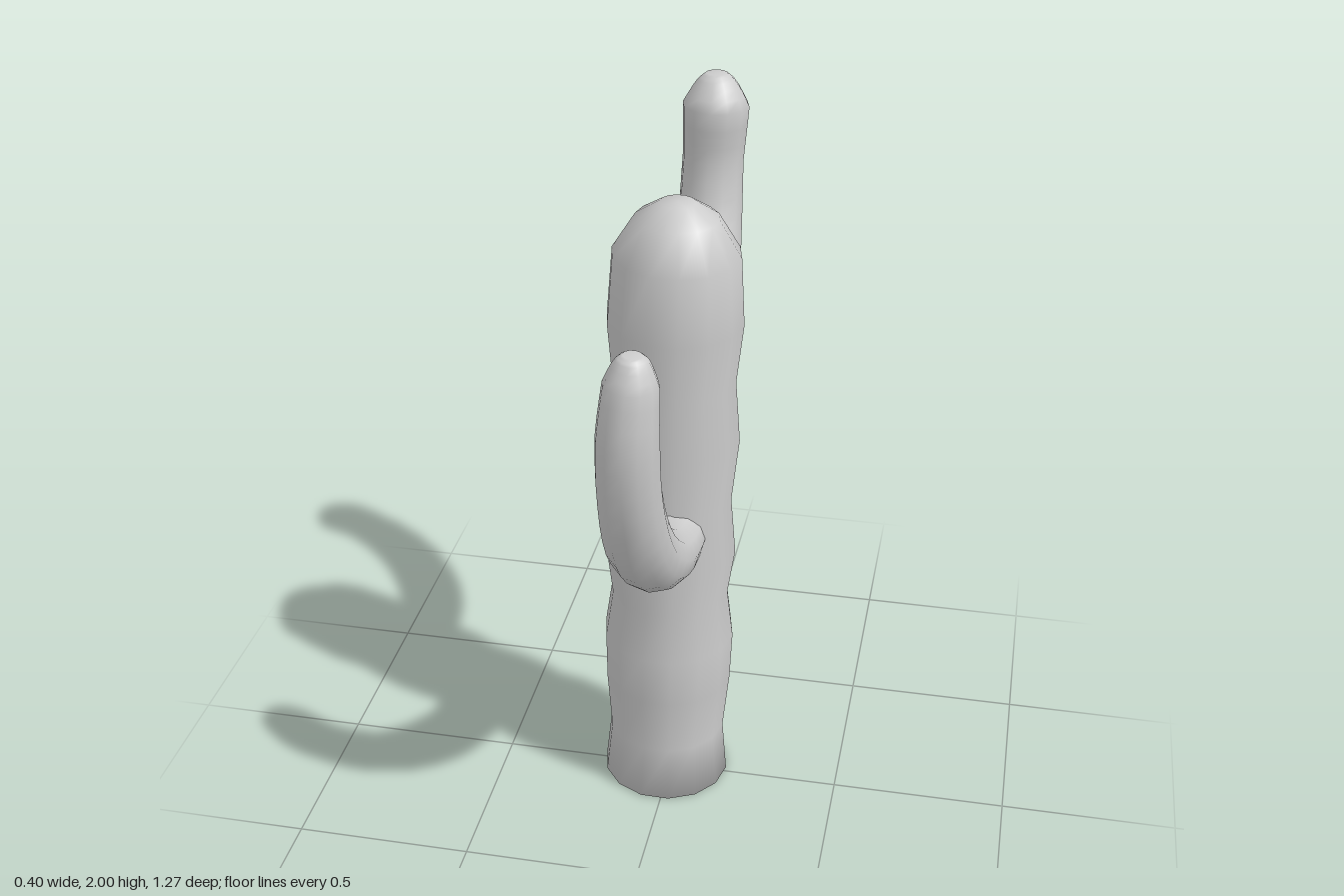
import * as THREE from 'three';

const material = new THREE.MeshStandardMaterial({ color: 0xcccccc });

// Sweeps round rings along a smooth path; each station is [x, y, z, radius].
// Both ends are closed with a fan that shares the smooth normals.
function sweep(name, stations, sides, steps) {
  const curve = new THREE.CatmullRomCurve3(stations.map(([x, y, z]) => new THREE.Vector3(x, y, z)));
  const spans = stations.length - 1;
  const rings = spans * steps;
  const positions = [];
  const index = [];
  const xAxis = new THREE.Vector3(1, 0, 0);

  for (let i = 0; i <= rings; i++) {
    const t = i / rings;
    const centre = curve.getPoint(t);
    const tangent = curve.getTangent(t);
    const n = new THREE.Vector3().crossVectors(tangent, xAxis).normalize();
    const u = new THREE.Vector3().crossVectors(n, tangent).normalize();
    const span = Math.min(Math.floor(i / steps), spans - 1);
    const r = THREE.MathUtils.lerp(stations[span][3], stations[span + 1][3], i / steps - span);
    for (let j = 0; j < sides; j++) {
      const a = (j / sides) * Math.PI * 2;
      const p = centre.clone().addScaledVector(u, r * Math.cos(a)).addScaledVector(n, r * Math.sin(a));
      positions.push(p.x, p.y, p.z);
    }
  }
  for (let i = 0; i < rings; i++) {
    for (let j = 0; j < sides; j++) {
      const a = i * sides + j;
      const b = i * sides + ((j + 1) % sides);
      index.push(a, b, b + sides, a, b + sides, a + sides);
    }
  }
  // End caps
  const start = (rings + 1) * sides;
  const last = rings * sides;
  positions.push(...stations[0].slice(0, 3), ...stations[spans].slice(0, 3));
  for (let j = 0; j < sides; j++) {
    const k = (j + 1) % sides;
    index.push(start, k, j, start + 1, last + j, last + k);
  }

  const geometry = new THREE.BufferGeometry();
  geometry.setAttribute('position', new THREE.Float32BufferAttribute(positions, 3));
  geometry.setIndex(index);
  geometry.computeVertexNormals();
  const mesh = new THREE.Mesh(geometry, material);
  mesh.name = name;
  return mesh;
}

export function createModel() {
  const group = new THREE.Group();
  group.name = 'cactus';

  // Trunk: leans slightly, with gentle bulges and a domed top [height, radius]
  const profile = [
    [0.004, 0.185], [0.17, 0.169], [0.35, 0.184], [0.5, 0.188], [0.65, 0.168], [0.79, 0.186],
    [0.96, 0.169], [1.15, 0.186], [1.33, 0.17], [1.5, 0.186], [1.69, 0.173], [1.79, 0.112], [1.832, 0.047],
  ];
  group.add(sweep('trunk', profile.map(([y, r]) => [-0.018 + 0.017 * y, y, -0.018, r]), 14, 1));

  // Lower arm, curving forward and up
  group.add(sweep('frontArm', [
    [0.03, 0.9, 0.03, 0.088], [0.025, 0.9, 0.18, 0.09], [0.015, 0.963, 0.325, 0.093],
    [0.005, 1.095, 0.455, 0.09], [0, 1.27, 0.53, 0.084], [0.002, 1.45, 0.557, 0.081],
    [0.01, 1.595, 0.547, 0.071], [0.014, 1.66, 0.545, 0.042], [0.015, 1.674, 0.545, 0.025],
  ], 12, 3));

  // Upper arm, curving backward and up
  group.add(sweep('backArm', [
    [0.03, 1.265, -0.06, 0.085], [0.03, 1.277, -0.2, 0.087], [0.025, 1.318, -0.312, 0.092],
    [0.018, 1.425, -0.427, 0.096], [0.012, 1.585, -0.51, 0.092], [0.013, 1.755, -0.541, 0.087],
    [0.02, 1.91, -0.538, 0.094], [0.02, 1.98, -0.542, 0.052], [0.02, 1.999, -0.543, 0.03],
  ], 12, 3));

  return group;
}
